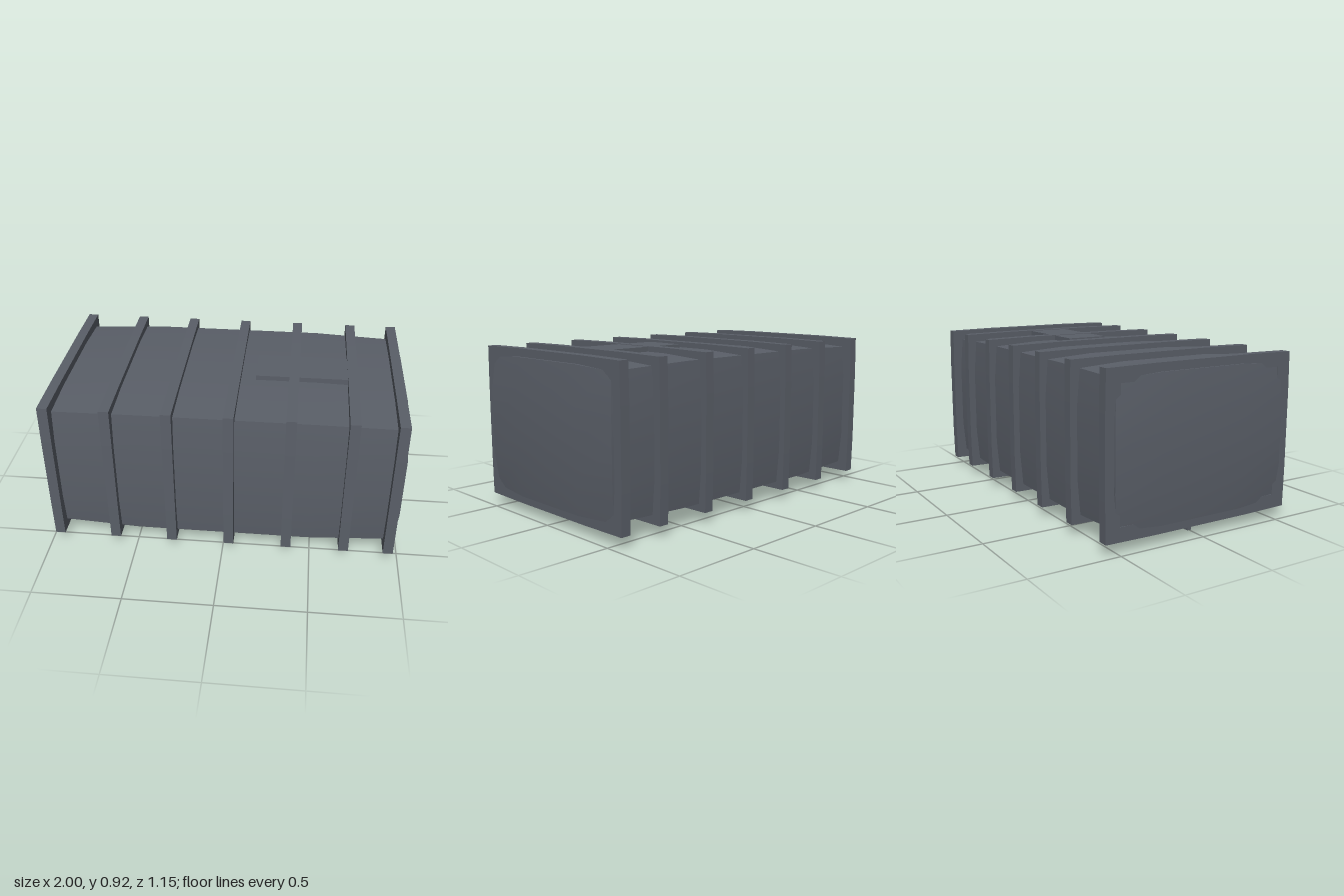
import * as THREE from 'three';
import { toCreasedNormals } from 'three/addons/utils/BufferGeometryUtils.js';

const MID_Y = 0.487;

export function createModel() {
  const group = new THREE.Group();
  const material = new THREE.MeshStandardMaterial({ color: 0x5a5f68 });

  function add(name, geometry, x, y, z) {
    const mesh = new THREE.Mesh(geometry, material);
    mesh.name = name;
    mesh.position.set(x, y, z);
    group.add(mesh);
    return mesh;
  }
  const box = (name, w, h, d, x, y, z) => add(name, new THREE.BoxGeometry(w, h, d), x, y, z);

  // Tank body: a box whose faces swell outwards around their middle
  const body = new THREE.BoxGeometry(2, 2, 2, 4, 4, 4);
  const p = body.attributes.position;
  const swell = (t) => (Math.abs(t) < 0.6 ? 1 : 0);
  for (let i = 0; i < p.count; i++) {
    const x = p.getX(i), y = p.getY(i), z = p.getZ(i);
    p.setXYZ(
      i,
      x * (0.965 + 0.0175 * (swell(y) + swell(z))),
      y * (0.37 + 0.015 * (swell(x) + swell(z))),
      z * (0.508 + 0.016 * (swell(x) + swell(y)))
    );
  }
  add('tankBody', toCreasedNormals(body, 0.6), 0, MID_Y, 0);

  // Outline of a rib, slightly bowed along each side
  function bowedOutline(target, w, h, bow) {
    target.setFromPoints([
      [w, -h], [w + bow, -h / 2], [w + bow, h / 2], [w, h],
      [w / 2, h + bow], [-w / 2, h + bow], [-w, h],
      [-w - bow, h / 2], [-w - bow, -h / 2], [-w, -h],
      [-w / 2, -h - bow], [w / 2, -h - bow],
    ].map(([a, b]) => new THREE.Vector2(a, b)));
    return target;
  }

  // Seven reinforcing ribs around the body
  const ribWidth = 0.056;
  const outline = bowedOutline(new THREE.Shape(), 0.571, 0.426, 0.004);
  outline.holes.push(bowedOutline(new THREE.Path(), 0.49, 0.35, 0));
  const ribGeometry = new THREE.ExtrudeGeometry(outline, { depth: ribWidth, bevelEnabled: false });
  ribGeometry.translate(0, 0, -ribWidth / 2);
  ribGeometry.rotateY(Math.PI / 2);
  for (const x of [-0.946, -0.617, -0.29, 0.037, 0.364, 0.69, 0.941]) {
    add('rib', ribGeometry, x, MID_Y, 0);
  }

  // Raised plate on top, crossing one rib and meeting the next
  box('topPlate', 0.525, 0.05, 0.245, 0.4125, 0.889, -0.005);

  // Drain fin and small lever underneath
  box('drainFin', 0.15, 0.11, 0.026, -0.81, 0.055, 0);
  box('finFlange', 0.17, 0.03, 0.03, -0.81, 0.085, 0);
  box('leverArm', 0.014, 0.014, 0.08, -0.735, 0.075, 0.045);
  box('leverHandle', 0.03, 0.05, 0.012, -0.722, 0.08, 0.08);

  return group;
}
